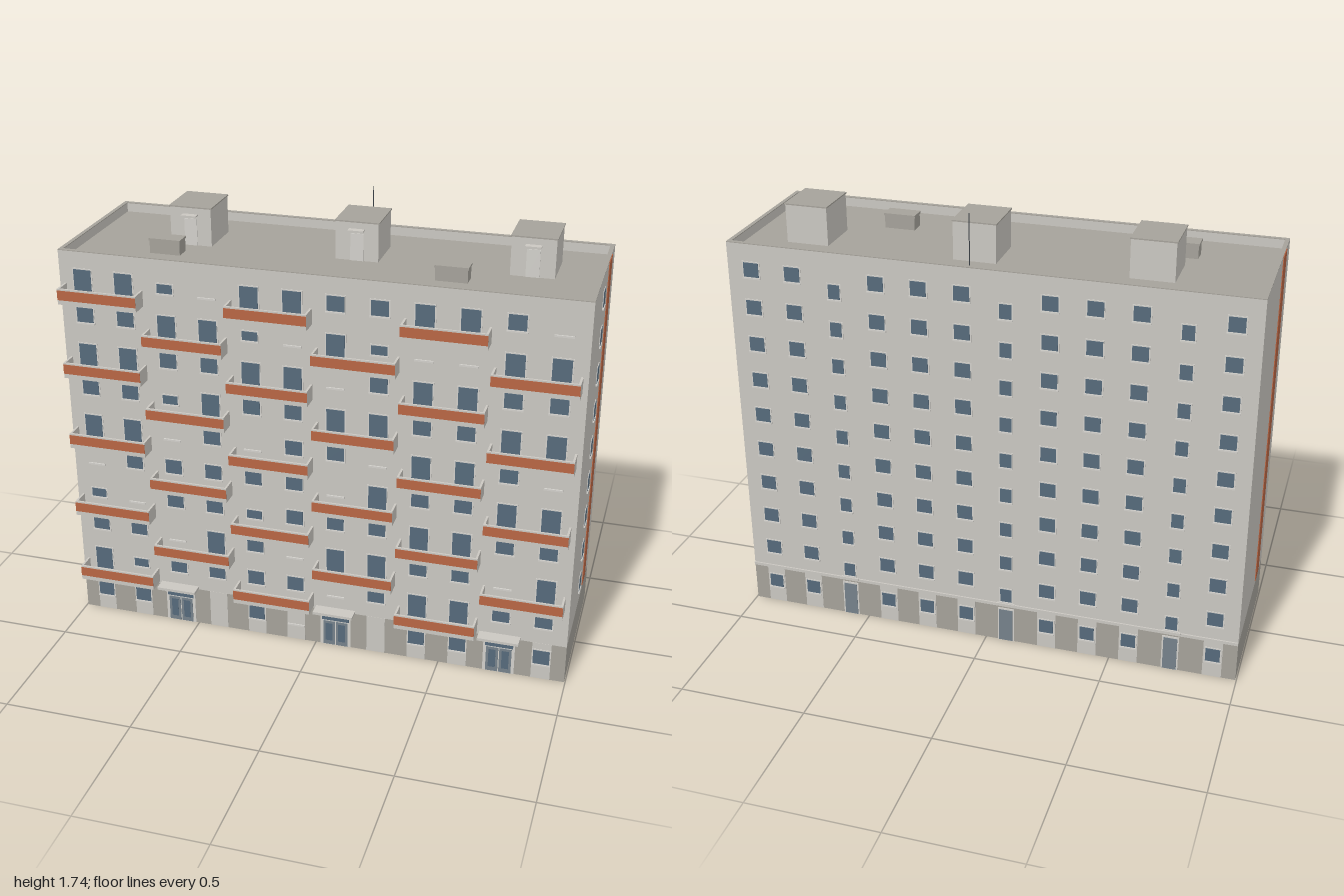
import * as THREE from 'three';

const mat = (name, color, side = THREE.FrontSide) => {
  const m = new THREE.MeshStandardMaterial({ color, side });
  m.name = name;
  return m;
};

const X = 0.996, FRONT = 0.285, BACK = -0.345, TOP = 1.56, BASE = 0.16, STEP = 0.15;
const COLS = Array.from({ length: 12 }, (_, i) => -0.903 + i * 0.1641);
const STAIRS = [1, 5, 9];
const ENTRIES = [2, 6, 10];
const floorY = (f) => 0.26 + (f - 1) * STEP;

// Front windows by floor, top to bottom: W window, D balcony door, s short window, . sill only
const FRONT_MAP = [
  'DDs.DDWWDDW.',
  'WWDDs.Ds..DD',
  'DDWWDD.WDDWW',
  'WWsDWWDDWWDD',
  'DD.W.WW.DDW.',
  '.WWWWW.DWWDD',
  's.WWsWWWDDWW',
  'WW.DW.DDWW.D',
  'DsWWWW.WDDWW',
];

export function createModel() {
  const root = new THREE.Group();
  root.name = 'apartmentBlock';

  const wall = mat('wall', 0xcac7c1, THREE.DoubleSide);
  const plinth = mat('plinth', 0xa5a29a, THREE.DoubleSide);
  const orange = mat('orange', 0xb86644);
  const glass = mat('glass', 0x566a7b);
  const frame = mat('frame', 0xd2d0cb);
  const dark = mat('darkMetal', 0x3c4248);
  const doorMat = mat('door', 0x75818a);

  // Box given by its min and max corners
  const box = (name, m, x0, x1, y0, y1, z0, z1, parent = root) => {
    const mesh = new THREE.Mesh(new THREE.BoxGeometry(x1 - x0, y1 - y0, z1 - z0), m);
    mesh.position.set((x0 + x1) / 2, (y0 + y1) / 2, (z0 + z1) / 2);
    mesh.name = name;
    parent.add(mesh);
    return mesh;
  };

  // Four walls without lid or floor
  const shell = (name, m, y0, y1) => {
    const mesh = box(name, m, -X, X, y0, y1, BACK, FRONT);
    const idx = Array.from(mesh.geometry.index.array);
    mesh.geometry.setIndex([...idx.slice(0, 12), ...idx.slice(24)]);
    mesh.geometry.clearGroups();
  };
  shell('plinthWalls', plinth, 0, BASE);
  shell('walls', wall, BASE, TOP);

  // Window facing +z, visible from both sides of the wall
  const windowUnit = (w, h) => {
    const g = new THREE.Group();
    g.name = 'window';
    box('windowFrame', frame, -w / 2, w / 2, -h / 2, h / 2, -0.002, 0.002, g);
    box('windowGlass', glass, -w / 2 + 0.005, w / 2 - 0.005, -h / 2 + 0.005, h / 2 - 0.005, -0.004, 0.0035, g);
    box('windowSill', frame, -w / 2, w / 2, -h / 2 - 0.003, -h / 2 + 0.003, 0, 0.006, g);
    return g;
  };
  const place = (g, x, y, z, turn = 0) => {
    g.position.set(x, y, z);
    g.rotation.y = turn;
    root.add(g);
  };

  // Front windows
  FRONT_MAP.forEach((row, r) => {
    const y = floorY(9 - r);
    [...row].forEach((c, i) => {
      const x = COLS[i];
      if (c === 'W') place(windowUnit(0.076, 0.068), x, y, FRONT);
      if (c === 'D') place(windowUnit(0.08, 0.106), x, y - 0.017, FRONT);
      if (c === 's') place(windowUnit(0.07, 0.045), x, y - 0.012, FRONT);
      if (c === '.') box('sill', frame, x - 0.035, x + 0.035, y - 0.037, y - 0.03, FRONT, FRONT + 0.006);
    });
  });

  // Back windows; stairwell windows are narrower and sit between floors
  for (let f = 1; f <= 9; f++) {
    COLS.forEach((x, i) => {
      const stair = STAIRS.includes(i);
      place(windowUnit(stair ? 0.055 : 0.07, 0.066), x, floorY(f) - (stair ? 0.05 : 0), BACK, Math.PI);
    });
    // Side windows on the right-hand gable
    place(windowUnit(0.054, 0.072), X, floorY(f) + 0.003, -0.03, Math.PI / 2);
  }

  // Ground floor: light strips and windows between plinth panels
  COLS.forEach((x, i) => {
    if (!ENTRIES.includes(i)) {
      box('frontStrip', wall, x - 0.037, x + 0.037, 0, BASE, FRONT - 0.001, FRONT + 0.001);
      if (![3, 5, 7].includes(i)) place(windowUnit(0.074, 0.07), x, 0.098, FRONT + 0.001);
    }
    if (!STAIRS.includes(i)) {
      box('backStrip', wall, x - 0.037, x + 0.037, 0, BASE, BACK - 0.001, BACK + 0.001);
      place(windowUnit(0.066, 0.066), x, 0.098, BACK - 0.001, Math.PI);
    }
  });
  box('sill', frame, COLS[5] - 0.035, COLS[5] + 0.035, 0.063, 0.07, FRONT, FRONT + 0.006);
  box('backLedge', wall, -X, X, BASE, BASE + 0.012, BACK - 0.006, BACK);

  // Front entrances with double doors, transom and canopy
  ENTRIES.forEach((i) => {
    const x = COLS[i];
    box('entranceSurround', frame, x - 0.062, x + 0.062, 0, 0.145, FRONT - 0.002, FRONT + 0.002);
    box('transom', glass, x - 0.055, x + 0.055, 0.115, 0.138, FRONT - 0.004, FRONT + 0.004);
    [-1, 1].forEach((s) => {
      const c = x + s * 0.026;
      box('doorLeaf', doorMat, c - 0.024, c + 0.024, 0.002, 0.11, FRONT - 0.004, FRONT + 0.004);
      box('doorGlass', glass, c - 0.014, c + 0.014, 0.02, 0.1, FRONT - 0.005, FRONT + 0.0046);
    });
    box('entranceCanopy', wall, x - 0.08, x + 0.08, 0.163, 0.174, FRONT, 0.337);
  });

  // Back doors under the stairwells
  STAIRS.forEach((i) => {
    const x = COLS[i];
    box('backDoorFrame', frame, x - 0.033, x + 0.033, 0, 0.15, BACK - 0.003, BACK + 0.002);
    box('backDoor', doorMat, x - 0.027, x + 0.027, 0.002, 0.143, BACK - 0.005, BACK + 0.004);
    box('backDoorCanopy', wall, x - 0.037, x + 0.037, 0.165, 0.175, -0.355, BACK);
  });

  // Balconies, staggered from floor to floor
  for (let f = 1; f <= 9; f++) {
    for (let k = 0; k < 3; k++) {
      const start = k * 4 + (f % 2 ? 0 : 2);
      const cx = (COLS[start] + COLS[start + 1]) / 2;
      const g = new THREE.Group();
      g.name = 'balcony';
      g.position.set(cx, floorY(f) - 0.09, FRONT);
      const w = 0.157;
      box('balconyFloor', wall, -w, w, 0, 0.01, 0, 0.069, g);
      box('balconyFront', wall, -w, w, 0, 0.062, 0.061, 0.069, g);
      box('balconyPanel', orange, -w, w, 0.018, 0.056, 0.0685, 0.0705, g);
      [-1, 1].forEach((s) => {
        const x = s * (w - 0.004);
        box('balconySide', wall, x - 0.004, x + 0.004, 0, 0.062, 0, 0.069, g);
      });
      root.add(g);
    }
  }

  // Painted gable stripes
  box('rightStripe', orange, X - 0.001, X + 0.003, 0.18, TOP, -0.235, -0.145);
  box('leftStripe', orange, -X - 0.003, -X + 0.001, 0.18, TOP, 0.085, 0.175);

  // Roof deck and parapet
  const t = 0.016;
  box('roofDeck', plinth, -X + 0.002, X - 0.002, 1.515, 1.525, BACK + 0.002, FRONT - 0.002);
  [[-X, X, FRONT - t, FRONT], [-X, X, BACK, BACK + t],
    [-X, -X + t, BACK + t, FRONT - t], [X - t, X, BACK + t, FRONT - t]].forEach(([a, b, c, d]) => {
    box('parapet', wall, a + 0.0005, b - 0.0005, 1.52, TOP, c + 0.0005, d - 0.0005);
    box('parapetCap', plinth, a, b, TOP, TOP + 0.003, c, d);
  });

  // Lift houses with a small canopy and hatch door
  ENTRIES.forEach((i) => {
    const x = COLS[i];
    box('liftHouse', wall, x - 0.082, x + 0.082, 1.525, 1.672, -0.19, -0.003);
    box('liftHouseRoof', plinth, x - 0.085, x + 0.085, 1.672, 1.677, -0.193, 0);
    box('liftHouseCanopy', wall, x - 0.03, x + 0.03, 1.643, 1.648, -0.003, 0.023);
    box('liftHouseDoor', frame, x - 0.025, x + 0.025, 1.525, 1.63, -0.003, 0);
  });

  // Roof vents
  [-0.632, 0.467].forEach((x) => {
    box('roofVent', plinth, x - 0.06, x + 0.06, 1.525, 1.582, 0.068, 0.128);
    box('roofVentCap', plinth, x - 0.063, x + 0.063, 1.575, 1.584, 0.065, 0.131);
  });

  // Antenna
  const antenna = new THREE.Mesh(new THREE.CylinderGeometry(0.0018, 0.0018, 0.21, 6), dark);
  antenna.name = 'antenna';
  antenna.position.set(0.075, 1.63, -0.268);
  root.add(antenna);

  return root;
}
